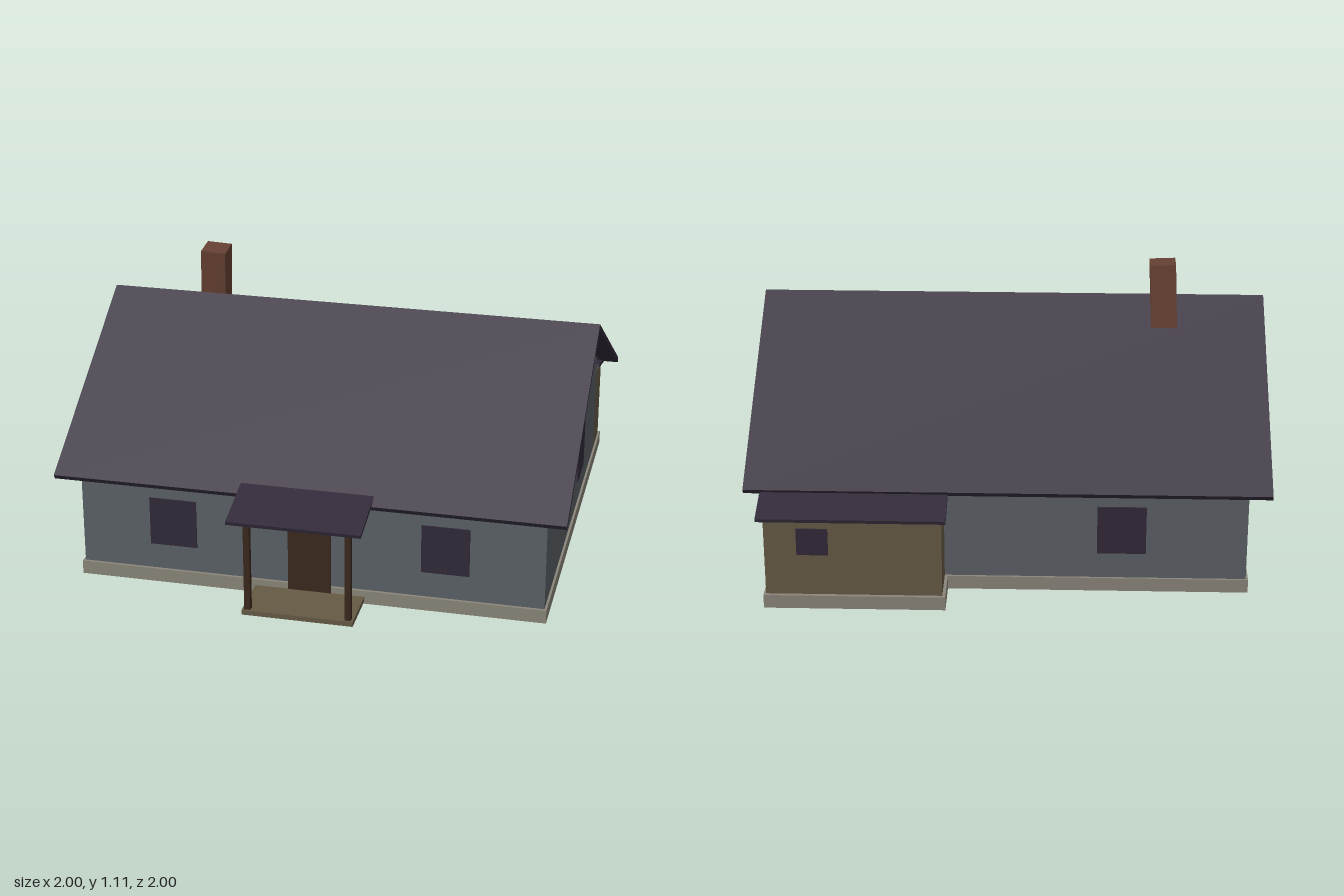
import * as THREE from 'three';

export function createModel() {
  const house = new THREE.Group();
  house.name = 'house';

  const mat = (name, color) => {
    const m = new THREE.MeshStandardMaterial({ color });
    m.name = name;
    return m;
  };
  const wall = mat('greyBlueWall', 0x5b6167);
  const roof = mat('plumRoof', 0x322a39);
  const stone = mat('stone', 0x8a867a);
  const tan = mat('tanWood', 0x665a45);
  const darkWood = mat('darkWood', 0x3a291d);
  const brick = mat('brick', 0x664133);

  const add = (name, geometry, material) => {
    const mesh = new THREE.Mesh(geometry, material);
    mesh.name = name;
    house.add(mesh);
    return mesh;
  };
  // Box given by its low and high limits on each axis
  const box = (name, [x0, x1], [y0, y1], [z0, z1], material) => {
    const g = new THREE.BoxGeometry(x1 - x0, y1 - y0, z1 - z0);
    g.translate((x0 + x1) / 2, (y0 + y1) / 2, (z0 + z1) / 2);
    return add(name, g, material);
  };
  // Outline in (z, y), extruded along x
  const profile = (name, points, [x0, x1], material) => {
    const shape = new THREE.Shape(points.map(([z, y]) => new THREE.Vector2(z, y)));
    const g = new THREE.ExtrudeGeometry(shape, { depth: x1 - x0, bevelEnabled: false });
    g.rotateY(-Math.PI / 2);
    g.translate(x1, 0, 0);
    return add(name, g, material);
  };

  // Foundations
  box('foundation', [-0.927, 0.927], [0, 0.055], [-0.777, 0.745], stone);
  box('annexFoundation', [0.233, 0.927], [0, 0.055], [-0.947, -0.777], stone);

  // Main walls with gables, running down to the ground
  profile('walls', [[0.733, 0], [0.733, 0.48], [-0.02, 0.914], [-0.768, 0.482], [-0.768, 0]],
    [-0.918, 0.918], wall);

  // Main gable roof
  profile('mainRoof', [[0.817, 0.457], [-0.02, 0.937], [-0.858, 0.457],
    [-0.847, 0.438], [-0.02, 0.914], [0.806, 0.438]], [-1, 1], roof);

  // Back annex with a lean-to roof
  box('annexWalls', [0.245, 0.918], [0.01, 0.418], [-0.933, -0.768], tan);
  profile('annexRoof', [[-0.69, 0.487], [-1, 0.408], [-0.997, 0.394], [-0.687, 0.473]],
    [0.225, 0.937], roof);

  // Porch
  box('porchFloor', [-0.218, 0.218], [0.01, 0.03], [0.74, 0.95], tan);
  for (const x of [-0.197, 0.197]) {
    box('porchPost', [x - 0.012, x + 0.012], [0.03, 0.413], [0.919, 0.943], darkWood);
  }
  profile('porchRoof', [[1, 0.427], [0.74, 0.49], [0.737, 0.476], [0.997, 0.413]],
    [-0.26, 0.26], roof);

  // Door, standing just clear of the foundation
  box('door', [-0.085, 0.085], [0.03, 0.375], [0.738, 0.747], darkWood);

  // Windows, thin plates on the walls
  const depth = 0.005;
  const sill = [0.161, 0.36];
  for (const x of [-0.548, 0.532]) {
    box('frontWindow', [x - 0.094, x + 0.094], sill, [0.733, 0.733 + depth], roof);
  }
  box('backWindow', [-0.53, -0.342], sill, [-0.768 - depth, -0.768], roof);
  box('annexWindow', [0.675, 0.795], [0.225, 0.336], [-0.933 - depth, -0.933], roof);
  box('leftWindow', [0.918, 0.918 + depth], sill, [-0.363, -0.177], roof);
  for (const z of [-0.385, 0.175]) {
    box('rightWindow', [-0.918 - depth, -0.918], sill, [z - 0.094, z + 0.094], roof);
  }

  // Slightly leaning chimney, set through the back slope
  const chimney = add('chimney', new THREE.BoxGeometry(0.102, 0.36, 0.102), brick);
  chimney.position.set(-0.598, 0.926, -0.113);
  chimney.rotation.set(0.08, 0, -0.04);

  return house;
}
